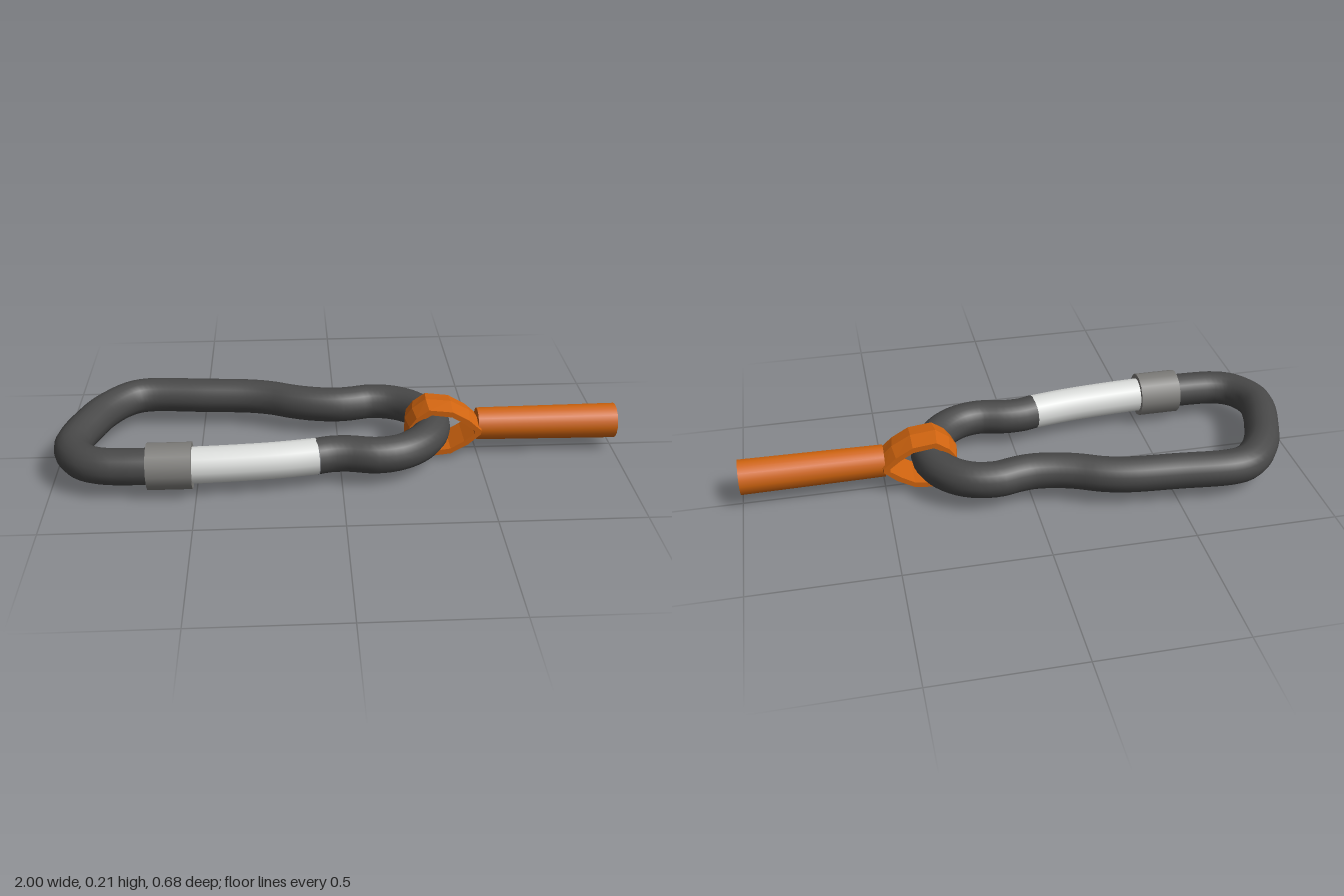
import * as THREE from 'three';

const Y = 0.105;      // height of the centre plane
const R = 0.0635;     // bar radius

const mat = (name, color, extra = {}) => {
  const m = new THREE.MeshStandardMaterial({ color, ...extra });
  m.name = name;
  return m;
};

export function createModel() {
  const group = new THREE.Group();
  const dark = mat('dark metal', 0x484848);
  const pale = mat('pale metal', 0xdadcda);
  const grey = mat('grey metal', 0x7e7d7a);
  const orange = mat('orange cord', 0xd0640f);
  const orangeFlat = mat('orange loop', 0xd0640f, { flatShading: true });

  const add = (name, geometry, material) => {
    const mesh = new THREE.Mesh(geometry, material);
    mesh.name = name;
    group.add(mesh);
    return mesh;
  };

  // Bar swept through [x, z] points on the centre plane
  const bar = (points, segments) => new THREE.TubeGeometry(
    new THREE.CatmullRomCurve3(points.map(([x, z]) => new THREE.Vector3(x, Y, z))),
    segments, R, 16);

  // Hook body: from the gate tip round the small end, spine and large end
  add('hookBody', bar([
    [-0.09, 0.221], [-0.04, 0.208], [0.02, 0.207], [0.12, 0.224], [0.2, 0.208],
    [0.275, 0.153], [0.324, 0.075], [0.338, 0.0], [0.316, -0.075], [0.264, -0.137],
    [0.2, -0.172], [0.12, -0.182], [0.06, -0.169], [0, -0.162], [-0.08, -0.171], [-0.16, -0.194],
    [-0.24, -0.228], [-0.32, -0.248], [-0.5, -0.264], [-0.7, -0.279],
    [-0.76, -0.262], [-0.815, -0.212], [-0.865, -0.135], [-0.9, -0.045], [-0.925, 0.035],
    [-0.935, 0.108], [-0.918, 0.17], [-0.875, 0.223], [-0.815, 0.25], [-0.74, 0.258], [-0.585, 0.26],
  ], 110), dark);

  // Gate bar
  add('gate', bar([
    [-0.6, 0.26], [-0.5, 0.259], [-0.36, 0.252], [-0.22, 0.24], [-0.087, 0.22],
  ], 16), pale);

  // Locking sleeve
  const sleeve = add('lockSleeve', new THREE.CylinderGeometry(0.081, 0.081, 0.152, 14), grey);
  sleeve.rotation.z = Math.PI / 2;
  sleeve.position.set(-0.585, Y, 0.26);

  // Cord loop: a crowned band, outer and inner outline given for the upper half
  const outerTop = [[0.518, 0.008], [0.468, 0.056], [0.4, 0.094], [0.31, 0.104], [0.262, 0.068], [0.236, 0.03]];
  const innerTop = [[0.482, 0.006], [0.446, 0.034], [0.398, 0.063], [0.325, 0.073], [0.288, 0.05], [0.268, 0.022]];
  const close = (half) => [...half, ...half.slice().reverse().map(([x, y]) => [x, -y])];
  const outer = close(outerTop), inner = close(innerTop);
  const zMid = 0.012, halfWidth = 0.069, n = outer.length;
  const positions = [], index = [];
  for (let i = 0; i < n; i++) {
    const [ox, oy] = outer[i], [ix, iy] = inner[i];
    const ex = ox + (ix - ox) * 0.36, ey = oy + (iy - oy) * 0.36;
    positions.push(
      ex, Y + ey, zMid + halfWidth,
      ox, Y + oy, zMid,
      ex, Y + ey, zMid - halfWidth,
      ix, Y + iy, zMid - halfWidth,
      ix, Y + iy, zMid + halfWidth);
    for (let j = 0; j < 5; j++) {
      const a = i * 5 + j, b = i * 5 + (j + 1) % 5;
      const c = ((i + 1) % n) * 5 + j, d = ((i + 1) % n) * 5 + (j + 1) % 5;
      index.push(a, b, c, b, d, c);
    }
  }
  const band = new THREE.BufferGeometry();
  band.setAttribute('position', new THREE.Float32BufferAttribute(positions, 3));
  band.setIndex(index);
  band.computeVertexNormals();
  add('cordLoop', band, orangeFlat);

  // Cord stem, slightly thinner where it meets the loop
  const stem = add('cordStem', new THREE.CylinderGeometry(0.058, 0.063, 0.502, 16), orange);
  stem.rotation.z = Math.PI / 2;
  stem.position.set(0.749, Y, zMid);

  return group;
}
